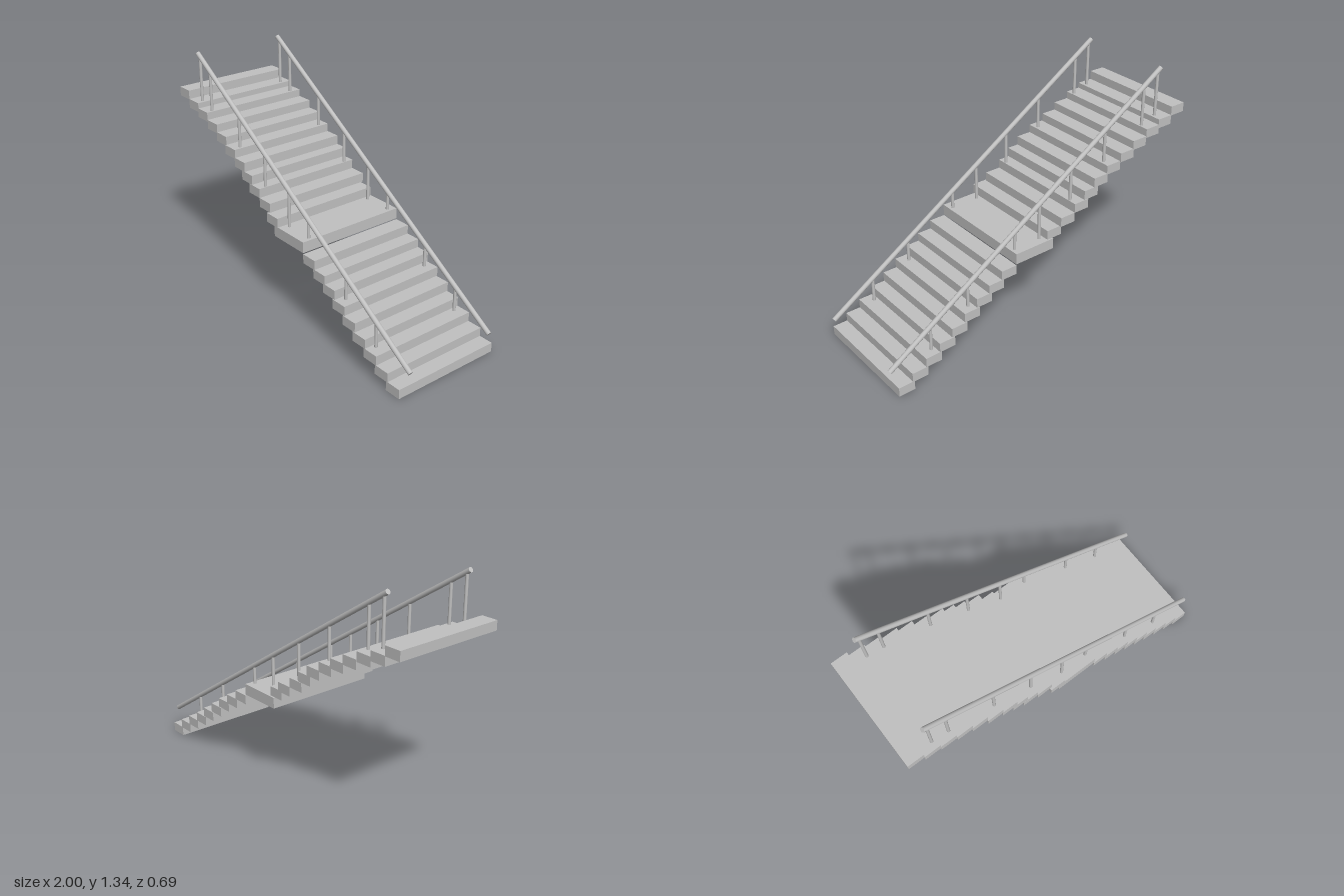
import * as THREE from 'three';

const grey = new THREE.MeshStandardMaterial({ color: 0xc0c0c0 });
grey.name = 'concrete grey';

// Box given by its min and max corners
function slab(name, x0, x1, y0, y1, z0, z1) {
  const mesh = new THREE.Mesh(new THREE.BoxGeometry(x1 - x0, y1 - y0, z1 - z0), grey);
  mesh.position.set((x0 + x1) / 2, (y0 + y1) / 2, (z0 + z1) / 2);
  mesh.name = name;
  return mesh;
}

// Round bar between two points
function bar(name, a, b, radius) {
  const dir = b.clone().sub(a);
  const mesh = new THREE.Mesh(new THREE.CylinderGeometry(radius, radius, dir.length(), 16), grey);
  mesh.position.copy(a).add(b).multiplyScalar(0.5);
  mesh.quaternion.setFromUnitVectors(new THREE.Vector3(0, 1, 0), dir.normalize());
  mesh.name = name;
  return mesh;
}

export function createModel() {
  const model = new THREE.Group();
  model.name = 'staircase';

  // Flights of steps: [left x, top y], each group slightly offset in z
  const flights = [
    { name: 'topSteps', z: -0.0105, steps: [[-1, 1.103], [-0.904, 1.052], [-0.81, 1.02], [-0.712, 0.977], [-0.62, 0.93]] },
    { name: 'upperSteps', z: -0.004, steps: [[-0.526, 0.882], [-0.434, 0.834], [-0.364, 0.78], [-0.295, 0.724], [-0.198, 0.671]] },
    { name: 'offsetStep', z: 0.009, steps: [[-0.114, 0.616]] },
    { name: 'lowerSteps', z: 0.003, steps: [[0.203, 0.491], [0.289, 0.438], [0.37, 0.388], [0.45, 0.33],
      [0.534, 0.272], [0.614, 0.215], [0.702, 0.161], [0.79, 0.107], [0.876, 0.056]] },
  ];
  const depth = 0.333;
  for (const { name, z, steps } of flights) {
    const flight = new THREE.Group();
    flight.name = name;
    for (const [x, top] of steps) {
      flight.add(slab('step', x, x + 0.097, top - 0.054, top, z - depth, z + depth));
    }
    model.add(flight);
  }

  // Wide landing between the flights
  model.add(slab('landing', -0.053, 0.203, 0.497, 0.56, 0.003 - depth, 0.003 + depth));

  // Handrails with posts: [x, foot y]
  const posts = [[-0.83, 1.04], [-0.73, 1.01], [-0.45, 0.87], [-0.21, 0.71],
    [0.008, 0.55], [0.178, 0.55], [0.492, 0.32], [0.734, 0.15]];
  for (const [name, zTop, zBottom] of [['leftFrontRail', 0.278, 0.281], ['backRail', -0.284, -0.28]]) {
    const side = new THREE.Group();
    side.name = name === 'backRail' ? 'backRailing' : 'frontRailing';
    const a = new THREE.Vector3(-0.852, 1.333, zTop);
    const b = new THREE.Vector3(0.992, 0.14, zBottom);
    side.add(bar('handrail', a, b, 0.014));
    for (const [x, foot] of posts) {
      const head = a.clone().lerp(b, (x - a.x) / (b.x - a.x));
      side.add(bar('post', new THREE.Vector3(x, foot, head.z), head, 0.009));
    }
    model.add(side);
  }
  return model;
}
